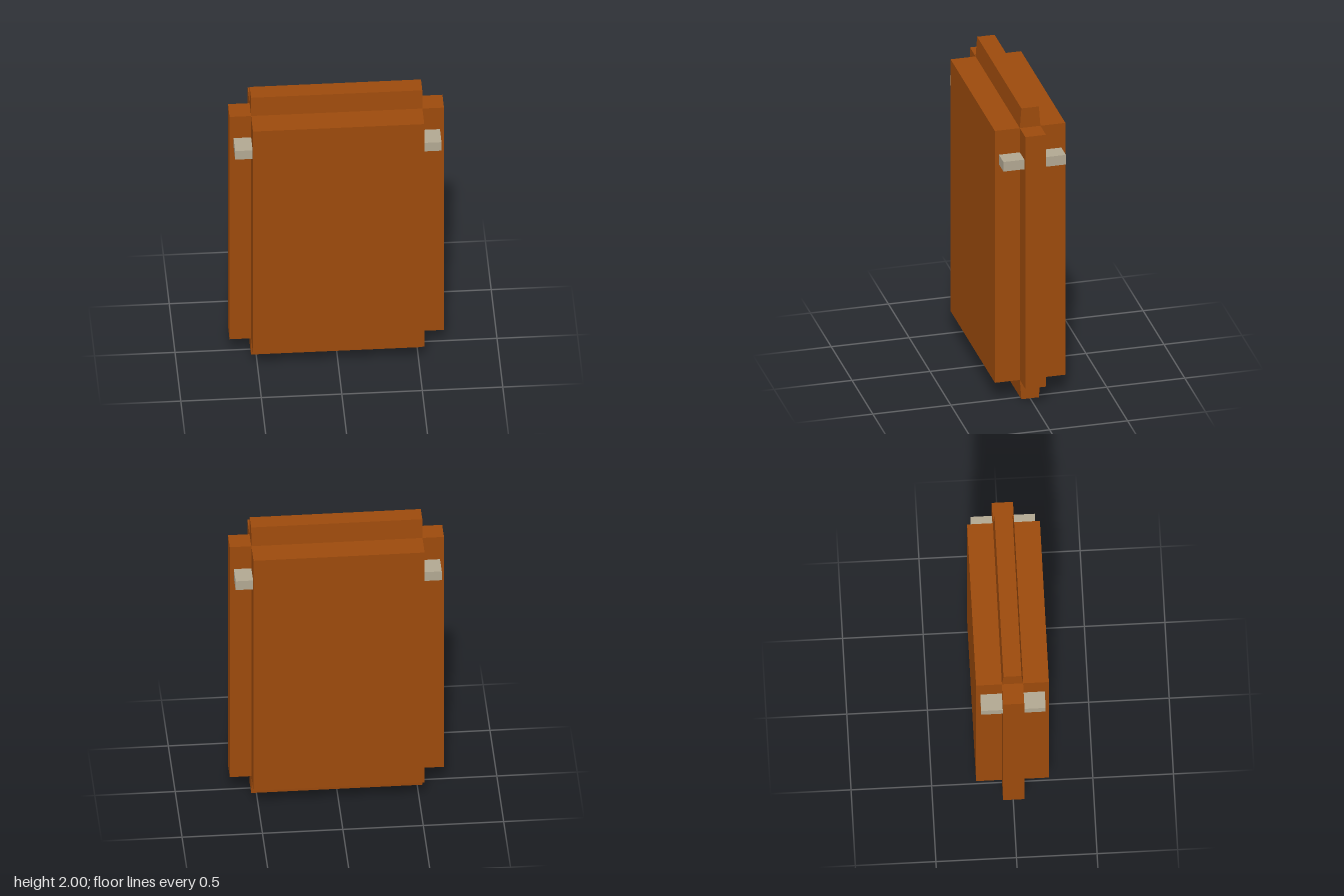
import * as THREE from 'three';

const HALF_W = 0.532, HALF_D = 0.226, LOW = 0.136, HIGH = 1.866;
const TONGUE_W = 0.666, TONGUE_D = 0.066, TIP_D = 0.056;

export function createModel() {
  const group = new THREE.Group();
  const wood = new THREE.MeshStandardMaterial({ color: 0x9c4a0c });
  wood.name = 'brown wood';
  const metal = new THREE.MeshStandardMaterial({ color: 0xb1a791 });
  metal.name = 'pale grey metal';

  function add(name, geometry, material, x, y, z) {
    const mesh = new THREE.Mesh(geometry, material);
    mesh.name = name;
    mesh.position.set(x, y, z);
    group.add(mesh);
    return mesh;
  }

  const midY = (LOW + HIGH) / 2, height = HIGH - LOW;

  // thick central slab
  add('slab', new THREE.BoxGeometry(HALF_W * 2, height, HALF_D * 2), wood, 0, midY, 0);

  // tapered rim, extruded along the width
  const rim = new THREE.Shape([
    new THREE.Vector2(-TONGUE_D, 0),
    new THREE.Vector2(TONGUE_D, 0),
    new THREE.Vector2(TIP_D, 2 - HIGH),
    new THREE.Vector2(-TIP_D, 2 - HIGH),
  ]);
  const rimGeometry = new THREE.ExtrudeGeometry(rim, { depth: HALF_W * 2, bevelEnabled: false });
  rimGeometry.translate(0, 0, -HALF_W).rotateY(Math.PI / 2);
  add('topRim', rimGeometry, wood, 0, HIGH, 0);
  add('bottomRim', rimGeometry, wood, 0, LOW, 0).rotation.x = Math.PI;

  for (const side of [1, -1]) {
    const label = side > 0 ? 'left' : 'right';

    // thin tongue along each side edge
    const w = TONGUE_W - HALF_W;
    add(label + 'Tongue', new THREE.BoxGeometry(w, height, TONGUE_D * 2), wood,
      side * (HALF_W + w / 2), midY, 0);

    // small pegs in the inner corners, front and back
    for (const face of [1, -1]) {
      const pegD = 0.2 - TONGUE_D, pegW = 0.641 - HALF_W;
      add(label + (face > 0 ? 'FrontPeg' : 'BackPeg'),
        new THREE.BoxGeometry(pegW, 0.066, pegD), metal,
        side * (HALF_W + pegW / 2), 1.667, face * (TONGUE_D + pegD / 2));
    }
  }
  return group;
}
